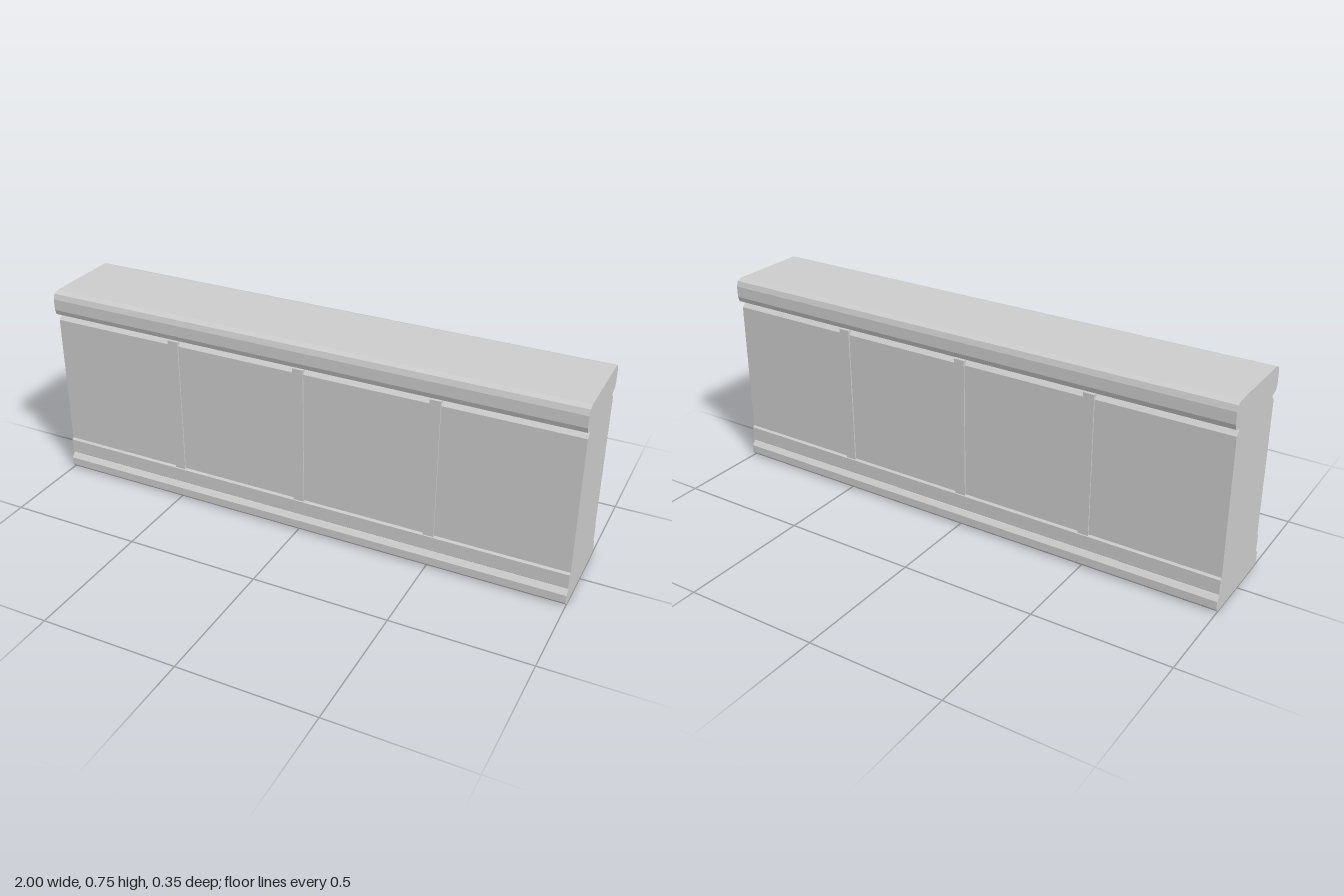
import * as THREE from 'three';

export function createModel() {
  const group = new THREE.Group();
  const stone = new THREE.MeshStandardMaterial({ color: 0xcccccc });
  stone.name = 'pale grey stone';

  // Half profile of the wall from base to top, as [half depth, height]
  const half = [
    // stepped plinth
    [0.16, 0], [0.174, 0.015], [0.174, 0.045], [0.157, 0.063],
    [0.163, 0.068], [0.163, 0.121], [0.155, 0.127],
    // panel face and the undercut above it
    [0.155, 0.632], [0.137, 0.65],
    // rounded coping
    [0.147, 0.654], [0.168, 0.661], [0.175, 0.68],
    [0.175, 0.722], [0.168, 0.742], [0.147, 0.75],
  ];
  const mirrored = half.map(([d, y]) => [-d, y]).reverse();
  const outline = [...half, ...mirrored].map(([d, y]) => new THREE.Vector2(d, y));

  // Body runs the full length along x
  const bodyGeometry = new THREE.ExtrudeGeometry(new THREE.Shape(outline), {
    depth: 2, bevelEnabled: false,
  });
  bodyGeometry.translate(0, 0, -1);
  bodyGeometry.rotateY(Math.PI / 2);
  const body = new THREE.Mesh(bodyGeometry, stone);
  body.name = 'wallBody';
  group.add(body);

  // Raised strips between the panels, proud of both faces
  const bottom = 0.122, top = 0.65;
  const stripGeometry = new THREE.BoxGeometry(0.04, top - bottom, 0.32);
  for (const x of [-0.5, 0, 0.5]) {
    const strip = new THREE.Mesh(stripGeometry, stone);
    strip.name = 'panelStrip';
    strip.position.set(x, (top + bottom) / 2, 0);
    group.add(strip);
  }
  return group;
}
